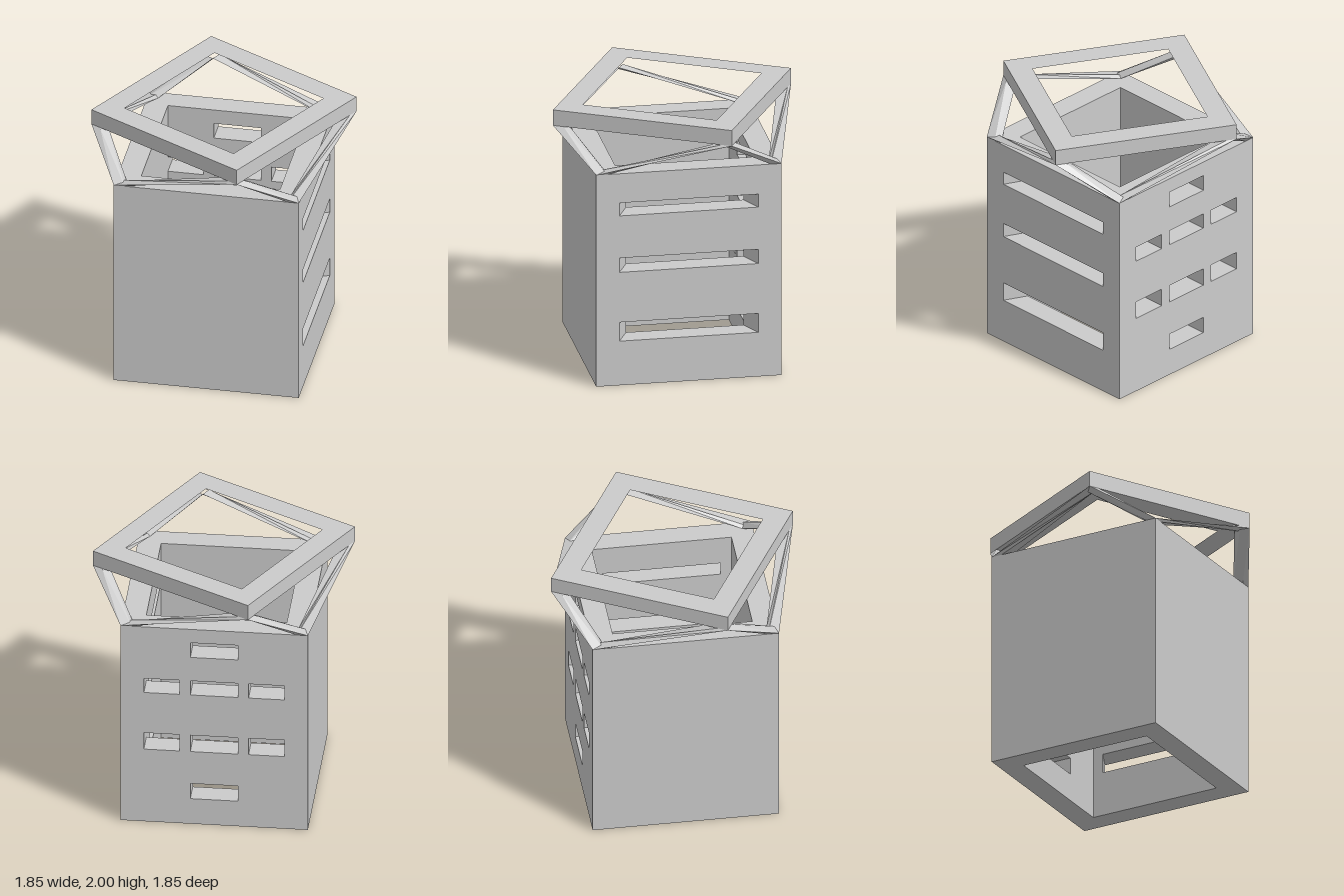
import * as THREE from 'three';

const OUT = 0.68, IN = 0.51, H = 1.63, TWIST = 0.5;
const mat = new THREE.MeshStandardMaterial({ color: 0xcccccc, flatShading: true });

function add(parent, name, geo) {
  const m = new THREE.Mesh(geo, mat);
  m.name = name;
  parent.add(m);
  return m;
}

const poly = pts => new THREE.Shape(pts.map(p => new THREE.Vector2(p[0], p[1])));
const rect = (x0, y0, x1, y1) => [[x0, y0], [x1, y0], [x1, y1], [x0, y1]];

// Shape with holes, extruded by depth
function plate(pts, holes, depth) {
  const s = poly(pts);
  holes.forEach(h => s.holes.push(poly(h)));
  return new THREE.ExtrudeGeometry(s, { depth, bevelEnabled: false });
}

// Plan outline (x, z) raised from y0 to y1
function rise(pts, holes, y0, y1) {
  const flip = a => a.map(([x, z]) => [x, -z]);
  return plate(flip(pts), holes.map(flip), y1 - y0).rotateX(-Math.PI / 2).translate(0, y0, 0);
}

// Strut: square foot at a box corner, joined to the same square turned under the ring
function strutGeometry(angle) {
  const foot = [[OUT, OUT], [0.6, OUT], [0.6, 0.6], [OUT, 0.6]];
  const c = Math.cos(angle), s = Math.sin(angle);
  const b = foot.map(([x, z]) => [x, H, z]);
  const t = foot.map(([x, z]) => [x * c - z * s, 1.88, x * s + z * c]);
  const pos = [];
  const tri = (...v) => v.forEach(p => pos.push(...p));
  for (let i = 0; i < 4; i++) {
    const j = (i + 1) % 4;
    tri(b[j], b[i], t[i]);
    tri(b[j], t[i], t[j]);
  }
  const g = new THREE.BufferGeometry();
  g.setAttribute('position', new THREE.Float32BufferAttribute(pos, 3));
  g.computeVertexNormals();
  return g;
}

export function createModel() {
  const model = new THREE.Group();
  model.name = 'twistedLantern';
  const T = OUT - IN;

  // Plain front and left-hand walls
  add(model, 'frontWall', new THREE.BoxGeometry(2 * OUT, H, T)).position.set(0, H / 2, (OUT + IN) / 2);
  add(model, 'plainSideWall', new THREE.BoxGeometry(T, H, 2 * IN)).position.set(-(OUT + IN) / 2, H / 2, 0);

  // Back wall with a pattern of small windows
  const holes = [];
  [[0.21, 0.337], [0.605, 0.742], [1.08, 1.198], [1.395, 1.517]].forEach(([y0, y1], row) => {
    holes.push(rect(-0.173, y0, 0.173, y1));
    if (row === 1 || row === 2) {
      holes.push(rect(-0.51, y0, -0.25, y1), rect(0.25, y0, 0.51, y1));
    }
  });
  add(model, 'backWall', plate(rect(-OUT, 0, OUT, H), holes, T)).position.z = -OUT;

  // Slotted side wall: solid bands with tapered cheeks at the slot ends
  const slotted = new THREE.Group();
  slotted.name = 'slottedSideWall';
  model.add(slotted);
  const slots = [[0.34, 0.485], [0.87, 0.98], [1.305, 1.405]];
  let y = 0;
  [...slots, [H, H]].forEach(([y0, y1]) => {
    add(slotted, 'band', rise(rect(IN, -IN, OUT, IN), [], y, y0));
    if (y1 > y0) {
      for (const s of [1, -1]) {
        add(slotted, 'slotCheek', rise([[IN, s * IN], [IN, s * 0.43], [OUT, s * IN]], [], y0, y1));
      }
    }
    y = y1;
  });

  // Square ring, turned relative to the box
  const ring = add(model, 'topRing',
    rise(rect(-OUT, -OUT, OUT, OUT), [rect(-IN, -IN, IN, IN)], 1.88, 2));
  ring.rotation.y = -TWIST;

  // A short and a long strut from each box corner
  const shortStrut = strutGeometry(TWIST);
  const longStrut = strutGeometry(TWIST - Math.PI / 2);
  for (let i = 0; i < 4; i++) {
    add(model, 'shortStrut', shortStrut).rotation.y = i * Math.PI / 2;
    add(model, 'longStrut', longStrut).rotation.y = i * Math.PI / 2;
  }
  return model;
}
